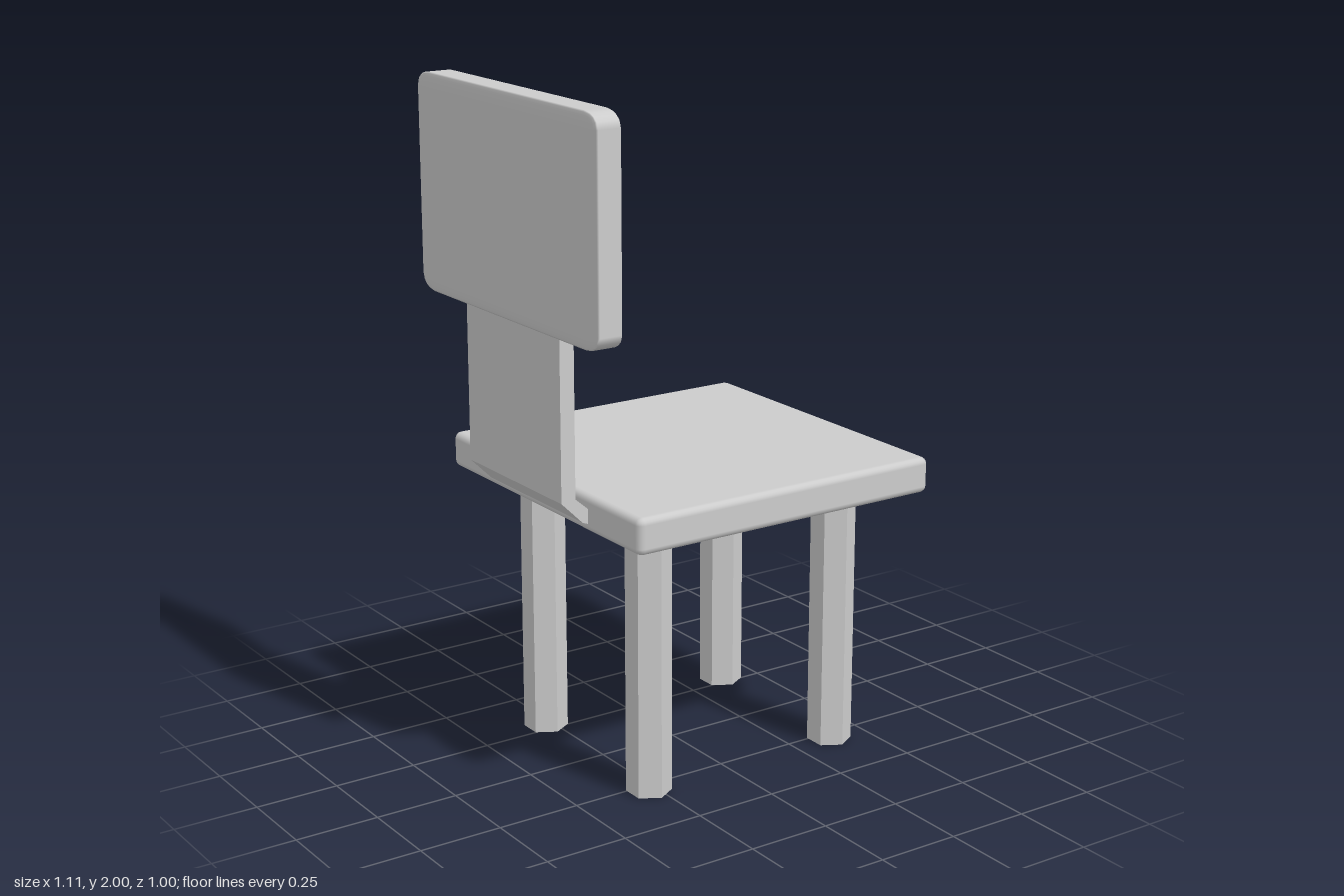
import * as THREE from 'three';
import { RoundedBoxGeometry } from 'three/addons/geometries/RoundedBoxGeometry.js';

export function createModel() {
  const group = new THREE.Group();
  const grey = new THREE.MeshStandardMaterial({ color: 0xcccccc });
  grey.name = 'grey';

  const add = (name, geometry, x, y, z) => {
    const mesh = new THREE.Mesh(geometry, grey);
    mesh.name = name;
    mesh.position.set(x, y, z);
    group.add(mesh);
  };

  // Seat slab with softly rounded edges
  add('seat', new RoundedBoxGeometry(1, 0.106, 1, 2, 0.02), 0.05, 0.857, 0);

  // Backrest: a rounded cube squashed into a panel, so its corners stretch with it
  const panel = new RoundedBoxGeometry(1, 1, 1, 2, 0.07).scale(0.08, 0.63, 0.94);
  add('backrest', panel, -0.515, 1.685, 0);

  // Bent support plate running from inside the seat up into the backrest
  const profile = new THREE.Shape([
    [-0.42, 0.828], [-0.42, 0.87], [-0.447, 0.87], [-0.49, 0.907],
    [-0.49, 1.42], [-0.535, 1.42], [-0.535, 0.902], [-0.468, 0.836], [-0.447, 0.828],
  ].map(([x, y]) => new THREE.Vector2(x, y)));
  const plate = new THREE.ExtrudeGeometry(profile, { depth: 0.494, bevelEnabled: false });
  add('backSupport', plate, 0, 0, -0.247);

  // Four hexagonal legs
  const leg = new THREE.CylinderGeometry(0.066, 0.066, 0.82, 6).toNonIndexed();
  leg.computeVertexNormals();
  for (const [end, x] of [['front', 0.379], ['back', -0.273]]) {
    for (const [side, z] of [['Left', -0.284], ['Right', 0.278]]) {
      add(`${end}${side}Leg`, leg, x, 0.41, z);
    }
  }
  return group;
}
